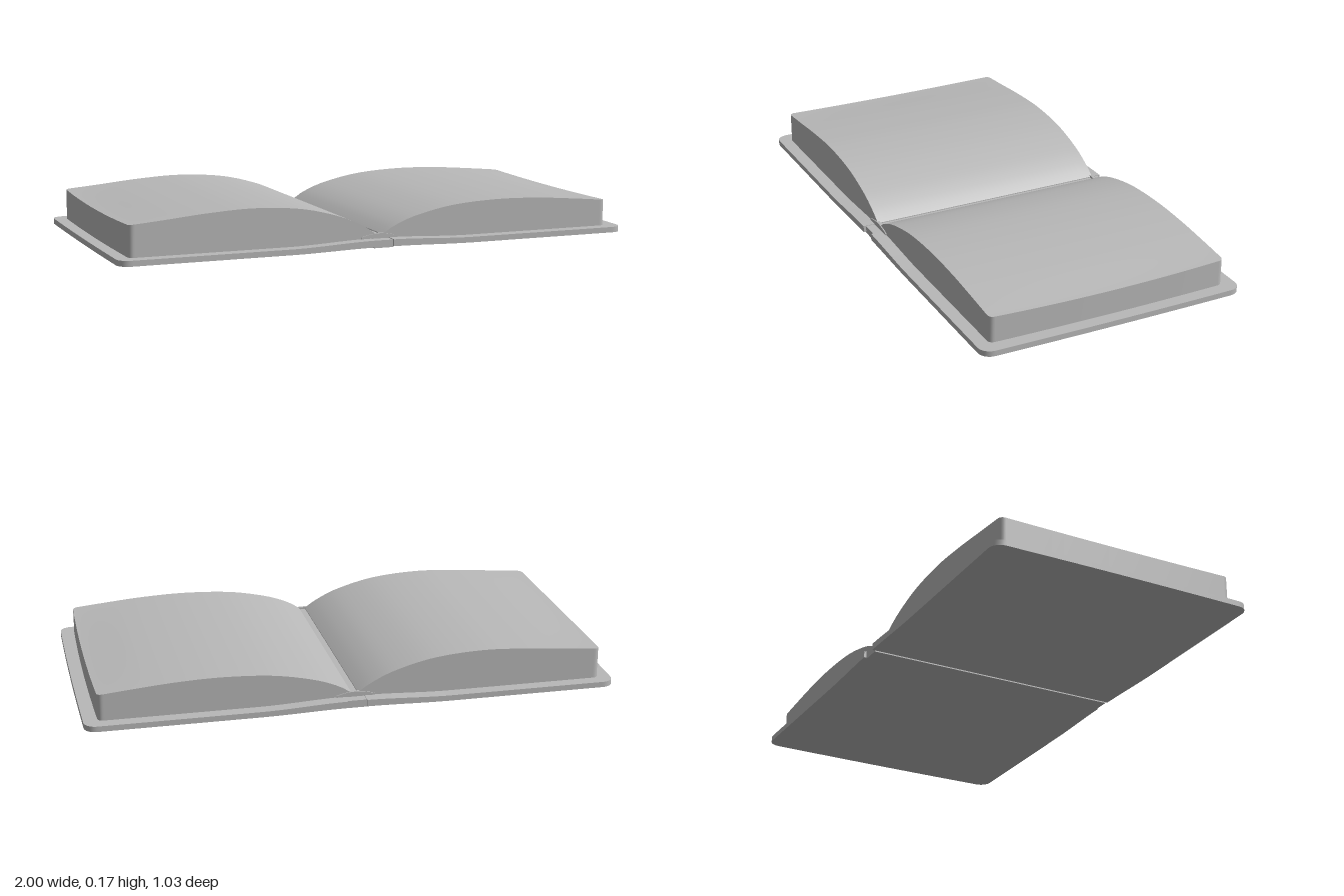
import * as THREE from 'three';

const paper = new THREE.MeshStandardMaterial({ color: 0xb8b8b8 });
paper.name = 'plain grey';

const smooth = (a, b, x) => THREE.MathUtils.smoothstep(x, a, b);

// Height lookup along a smooth curve through [x, y] points
function profile(points) {
  const samples = new THREE.SplineCurve(points.map(([x, y]) => new THREE.Vector2(x, y))).getPoints(120);
  return (x) => {
    let i = 1;
    while (i < samples.length - 1 && samples[i].x < x) i++;
    const a = samples[i - 1], b = samples[i];
    const t = THREE.MathUtils.clamp((x - a.x) / (b.x - a.x || 1), 0, 1);
    return a.y + (b.y - a.y) * t;
  };
}

// One half of the book: a box bent to top and bottom height rules,
// with rounded outer corners. side is +1 for the left half, -1 for the right half.
function slab(name, side, { inner, outer, half, radius, bulge, top, bottom }) {
  const geo = new THREE.BoxGeometry(1, 1, 1, 48, 1, 20);
  const p = geo.attributes.position;
  for (let i = 0; i < p.count; i++) {
    const t = side * p.getX(i) + 0.5;
    const u = Math.sin(t * Math.PI / 2);
    const v = p.getZ(i) * 2;
    const x = inner + u * (outer - inner);
    const d = Math.min(radius, outer - x);
    const hz = half - radius + Math.sqrt(Math.max(0, radius ** 2 - (radius - d) ** 2));
    const edge = smooth(0.7, 1, u);
    const y = p.getY(i) > 0 ? top(x, v) : bottom(x, v);
    p.setXYZ(i, side * (x - bulge * v * v * edge), y, v * hz);
  }
  geo.computeVertexNormals();
  const mesh = new THREE.Mesh(geo, paper);
  mesh.name = name;
  return mesh;
}

function box(name, w, h, d, x, y, z) {
  const mesh = new THREE.Mesh(new THREE.BoxGeometry(w, h, d), paper);
  mesh.position.set(x, y, z);
  mesh.name = name;
  return mesh;
}

export function createModel() {
  const book = new THREE.Group();
  book.name = 'openBook';

  const heights = {
    '-1': profile([[0.012, 0.045], [0.06, 0.077], [0.15, 0.118], [0.3, 0.156], [0.48, 0.17], [0.65, 0.163], [0.82, 0.148], [0.955, 0.137]]),
    '1': profile([[0.012, 0.045], [0.06, 0.075], [0.15, 0.108], [0.3, 0.138], [0.48, 0.149], [0.65, 0.145], [0.82, 0.132], [0.95, 0.12]]),
  };

  for (const side of [-1, 1]) {
    const label = side > 0 ? 'left' : 'right';

    // Cover board, lifting slightly towards the hinge
    const lift = (x) => 0.011 * (1 - smooth(0.03, 0.36, x));
    book.add(slab(label + 'Cover', side, {
      inner: 0.036, outer: 1, half: 0.517, radius: 0.045, bulge: 0.004,
      top: (x) => 0.021 + lift(x),
      bottom: (x) => lift(x) * 0.6,
    }));

    // Page block with a curved open page on top and a sagging fore edge
    const sag = (x, v) => 0.007 * (1 - v * v) * smooth(0.75, 0.95, x);
    book.add(slab(label + 'Pages', side, {
      inner: 0.012, outer: side < 0 ? 0.956 : 0.951, half: 0.468, radius: 0.02, bulge: 0.007,
      top: (x, v) => heights[side](x) - sag(x, v),
      bottom: (x) => 0.019 + 0.016 * (1 - smooth(0.012, 0.09, x)),
    }));
  }

  // Spine and the strip at the bottom of the gutter
  book.add(box('spine', 0.076, 0.028, 1.014, 0, 0.016, 0));
  book.add(box('gutterStrip', 0.028, 0.012, 0.926, 0, 0.036, 0));

  // Winged bands at both ends of the spine
  const wing = new THREE.Shape();
  wing.moveTo(-0.075, 0.031);
  wing.lineTo(0.07, 0.031);
  wing.lineTo(0.07, 0.038);
  wing.quadraticCurveTo(0.03, 0.05, 0, 0.05);
  wing.quadraticCurveTo(-0.035, 0.05, -0.075, 0.038);
  const bandGeo = new THREE.ExtrudeGeometry(wing, { depth: 0.012, bevelEnabled: false });
  for (const [name, z] of [['frontBand', 0.46], ['backBand', -0.472]]) {
    const band = new THREE.Mesh(bandGeo, paper);
    band.position.z = z;
    band.name = name;
    book.add(band);
  }

  return book;
}
